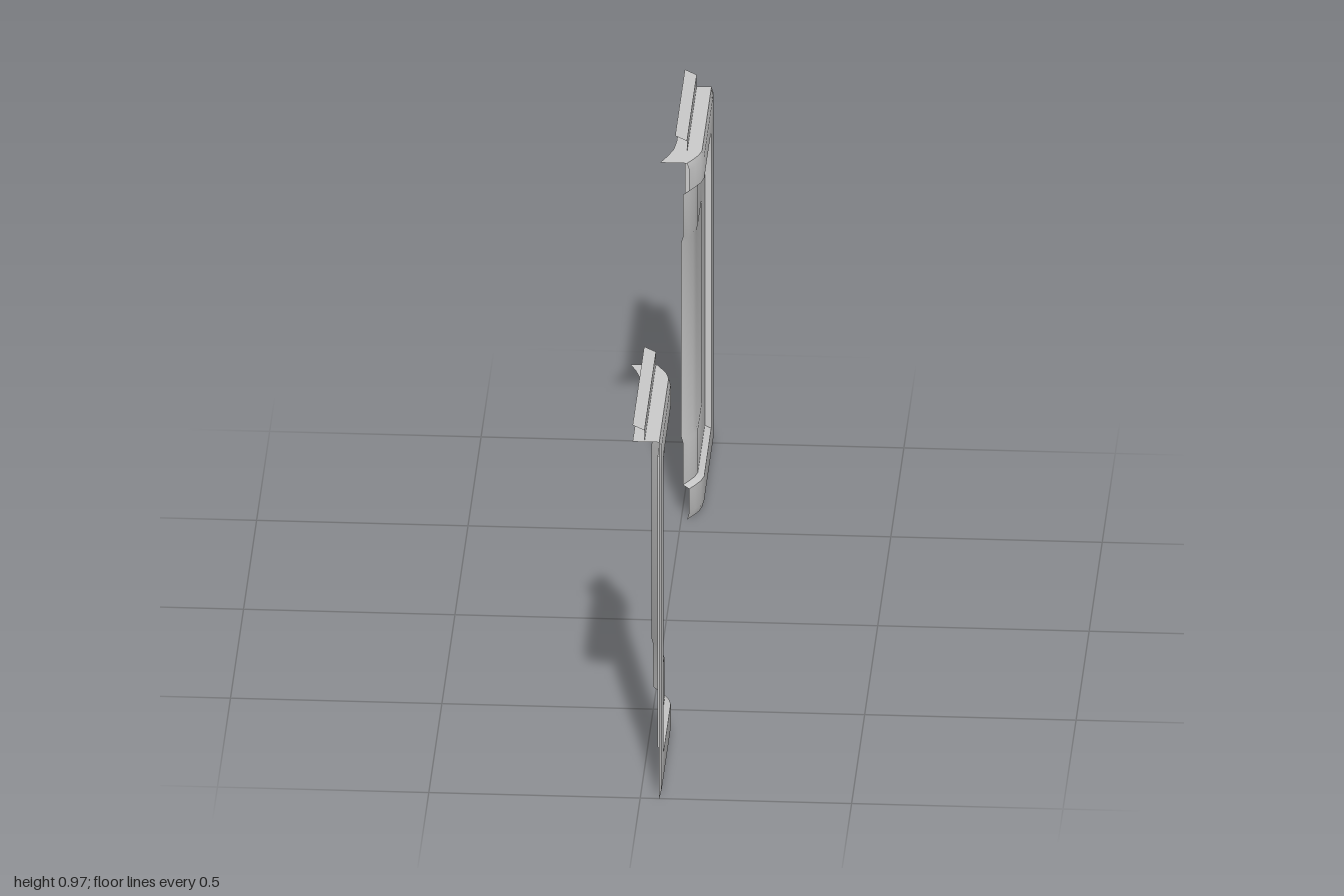
import * as THREE from 'three';
import { toCreasedNormals } from 'three/addons/utils/BufferGeometryUtils.js';

const material = new THREE.MeshStandardMaterial({ color: 0xcccccc, side: THREE.DoubleSide });

const TOP = 0.927;
const BACK = -0.018;

// sheet over rows and columns; at(row, column) gives the point, side mirrors it in z
function sheet(name, rows, cols, side, at) {
  const position = [];
  const index = [];
  rows.forEach((r, i) => cols.forEach((c, j) => {
    const [x, y, z] = at(r, c);
    position.push(x, y, z * side);
    if (!i || !j) return;
    const d = i * cols.length + j, b = d - cols.length, a = b - 1, e = d - 1;
    if (side > 0) index.push(a, b, d, a, d, e);
    else index.push(a, d, b, a, e, d);
  }));
  const geometry = new THREE.BufferGeometry();
  geometry.setAttribute('position', new THREE.Float32BufferAttribute(position, 3));
  geometry.setIndex(index);
  return named(name, toCreasedNormals(geometry, 0.6));
}

function named(name, geometry) {
  const mesh = new THREE.Mesh(geometry, material);
  mesh.name = name;
  return mesh;
}

function flat(points) {
  return new THREE.ShapeGeometry(new THREE.Shape(points.map(([x, y]) => new THREE.Vector2(x, y))));
}

// outer face: framed panel with a recess and a shallow sunken field
const panelRows = [0, 0.018, 0.08, 0.09, 0.2, 0.215, 0.72, 0.735, 0.845, 0.855, 0.91, TOP];
const panelCols = [1, 0.99, 0.91, 0.905, 0.79, 0.775, 0.64, 0.615, 0.59, 0.567];
const inwardBend = { 0.615: 0.006, 0.59: 0.018, 0.567: 0.031 };

function panelPoint(y, z) {
  let x = 0.05 - (inwardBend[z] ?? 0);
  if (y === 0 || y === TOP || z === 1) x -= 0.005;
  if (y >= 0.09 && y <= 0.845 && z <= 0.905) x -= 0.015;
  if (y >= 0.215 && y <= 0.72 && z <= 0.775) x -= 0.004;
  return [x, y, z];
}

// top ledge, flaring inward at its inner end
const ledgeOutline = [
  [0.045, 1], [0.045, 0.64], [0.039, 0.615], [0.027, 0.59], [0.014, 0.567],
  [-0.05, 0.567], [-0.034, 0.605], [-0.022, 0.645], [BACK, 0.69], [BACK, 1],
];

// rail on the ledge: upright web and sloping lip
const railProfile = [[0.01, TOP], [0.01, 0.957], [BACK, 0.97]];

// closing plate at the far end
const plateOutline = [
  [BACK, 0], [0.045, 0], [0.05, 0.018], [0.05, 0.91], [0.045, TOP], ...railProfile,
];

function doorPanel(name, side, railEnd) {
  const group = new THREE.Group();
  group.name = name;

  const ledge = flat(ledgeOutline.map(([x, z]) => [x, -z * side])).rotateX(-Math.PI / 2);
  ledge.translate(0, TOP, 0);

  group.add(
    sheet('framedFace', panelRows, panelCols, side, panelPoint),
    named('topLedge', ledge),
    sheet('topRail', railProfile, [1, railEnd], side, ([x, y], z) => [x, y, z]),
  );
  return group;
}

export function createModel() {
  const model = new THREE.Group();
  model.name = 'sidePanels';

  const front = doorPanel('frontPanel', 1, 0.558);
  const rear = doorPanel('rearPanel', -1, 0.627);

  const plate = flat(plateOutline.map(([x, y]) => [-x, y])).rotateY(Math.PI);
  plate.translate(0, 0, -1);
  rear.add(named('endPlate', plate));

  model.add(front, rear);
  return model;
}
